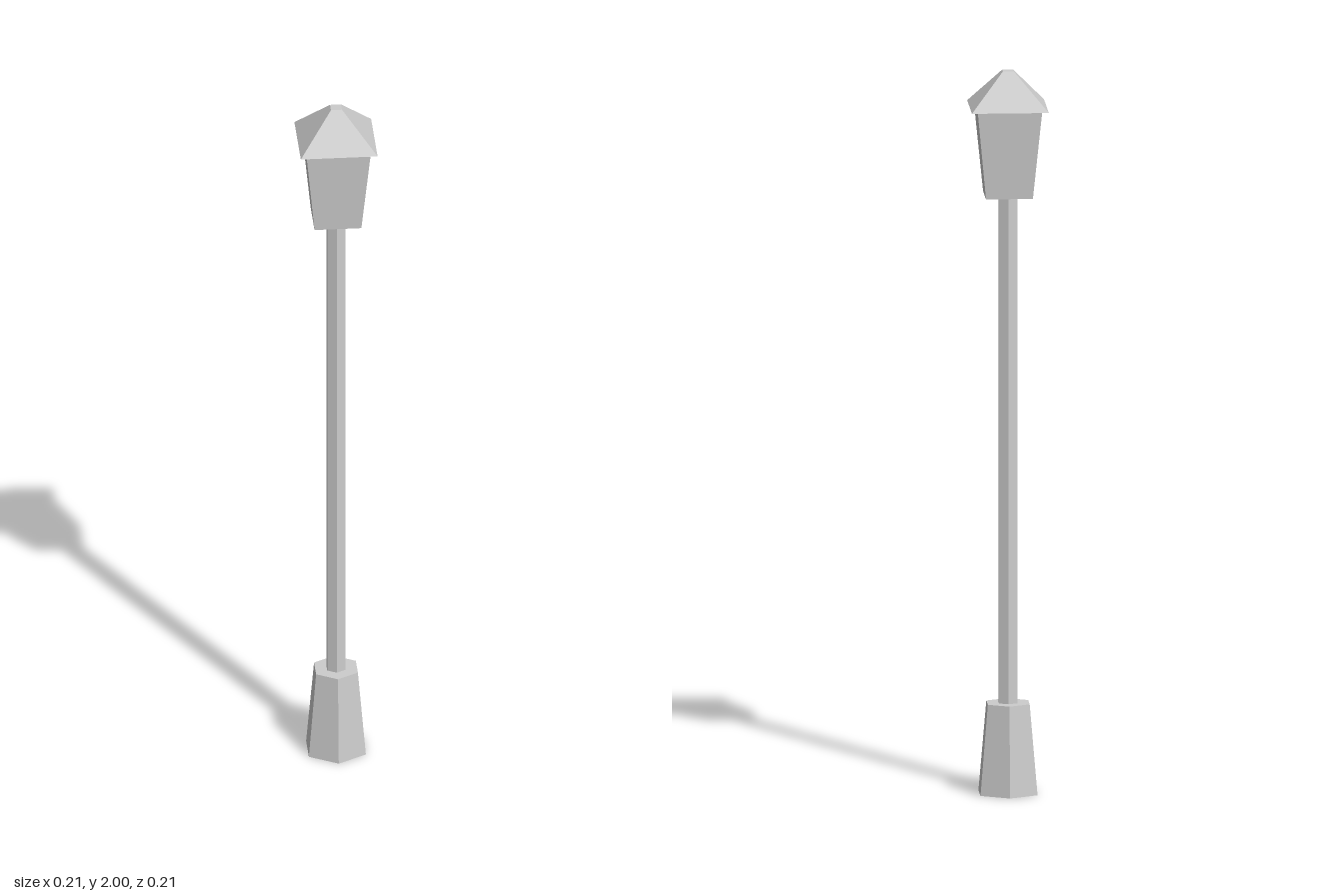
import * as THREE from 'three';

// Tapered prism standing between heights y0 and y1
function prism(name, sides, rBottom, rTop, y0, y1, material, turn = 0) {
  const geometry = new THREE.CylinderGeometry(rTop, rBottom, y1 - y0, sides);
  geometry.rotateY(turn);
  geometry.translate(0, (y0 + y1) / 2, 0);
  const mesh = new THREE.Mesh(geometry, material);
  mesh.name = name;
  return mesh;
}

// Square prism given by its half widths
function squarePrism(name, halfBottom, halfTop, y0, y1, material) {
  return prism(name, 4, halfBottom * Math.SQRT2, halfTop * Math.SQRT2, y0, y1, material, Math.PI / 4);
}

export function createModel() {
  const group = new THREE.Group();
  group.name = 'streetLamp';
  const grey = new THREE.MeshStandardMaterial({ color: 0xcccccc, flatShading: true });
  grey.name = 'light grey';

  group.add(
    // Hexagonal foot and pole, with a corner facing the front
    prism('base', 6, 0.09, 0.066, 0, 0.25, grey),
    prism('pole', 6, 0.029, 0.029, 0.25, 1.655, grey),
    // Square lantern widening upwards, under an overhanging cap
    squarePrism('lantern', 0.064, 0.088, 1.655, 1.9, grey),
    squarePrism('roof', 0.105, 0.015, 1.9, 2, grey)
  );
  return group;
}
